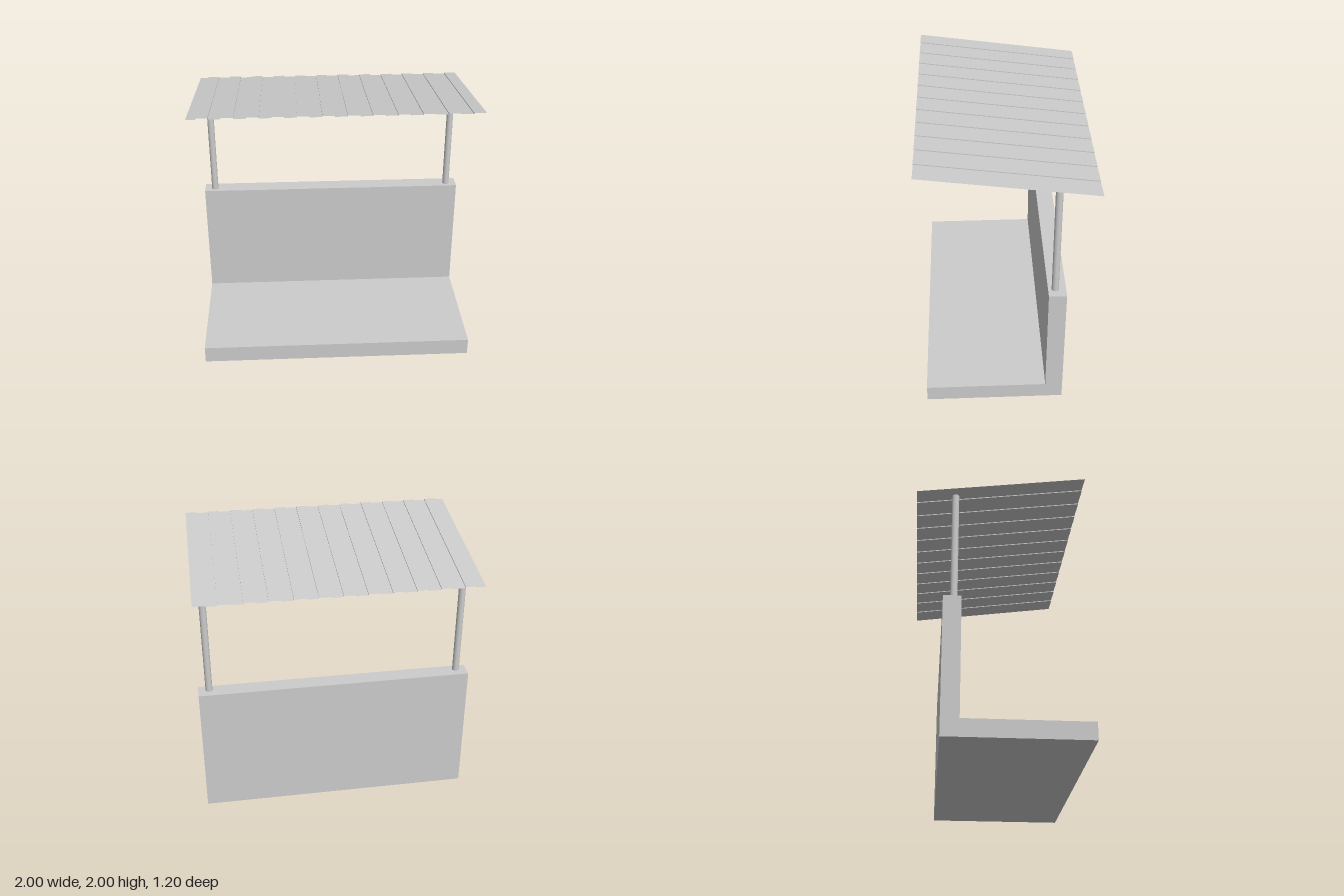
import * as THREE from 'three';

export function createModel() {
  const model = new THREE.Group();
  const grey = new THREE.MeshStandardMaterial({ color: 0xcccccc });
  const sheet = new THREE.MeshStandardMaterial({ color: 0xcccccc, side: THREE.DoubleSide, flatShading: true });

  const add = (name, geometry, material, x = 0, y = 0, z = 0) => {
    const mesh = new THREE.Mesh(geometry, material);
    mesh.name = name;
    mesh.position.set(x, y, z);
    model.add(mesh);
    return mesh;
  };

  // Floor slab and back wall: one L-shaped section, swept along x
  const section = new THREE.Shape(
    [[-0.6, 0], [0.4, 0], [0.4, 1], [0.275, 1], [0.275, 0.125], [-0.6, 0.125]]
      .map(([x, y]) => new THREE.Vector2(x, y)));
  const body = new THREE.ExtrudeGeometry(section, { depth: 2, bevelEnabled: false });
  body.translate(0, 0, -1).rotateY(Math.PI / 2);
  add('floorAndBackWall', body, grey);

  // Roof posts standing on the wall
  for (const side of [-1, 1]) {
    add(side > 0 ? 'leftPost' : 'rightPost',
      new THREE.CylinderGeometry(0.025, 0.025, 0.85, 24), grey, side * 0.922, 1.425, -0.325);
  }

  // Sloping corrugated roof: alternating low and high strips joined by steps
  const strips = 24, left = -1, right = 0.99, step = 0.007;
  const roof = new THREE.PlaneGeometry(1, 1.2, strips * 2 - 1, 1).rotateX(-Math.PI / 2);
  const p = roof.attributes.position;
  for (let i = 0; i < p.count; i++) {
    const column = i % (strips * 2);
    const strip = Math.floor(column / 2);
    const edge = strip + (column % 2);
    // the first strip is a little narrower than the others
    const x = edge === 0 ? left : THREE.MathUtils.lerp(-0.94, right, (edge - 1) / (strips - 1));
    const z = p.getZ(i);
    p.setXYZ(i, x, 1.9125 + z * 0.14 + (strip % 2 ? step / 2 : -step / 2), z);
  }
  const flatRoof = roof.toNonIndexed();
  flatRoof.computeVertexNormals();
  add('corrugatedRoof', flatRoof, sheet);

  return model;
}
